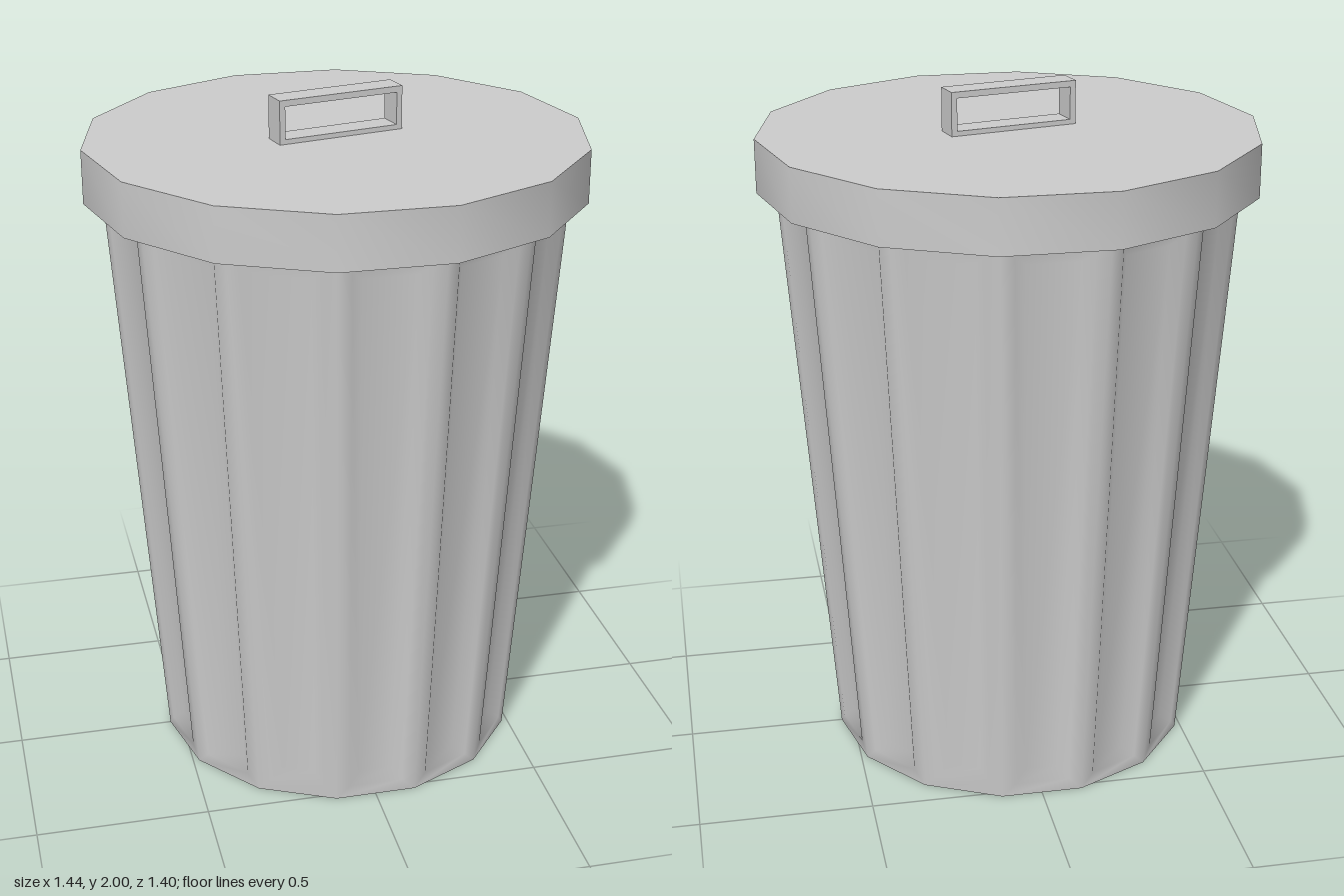
import * as THREE from 'three';
import { mergeVertices, toCreasedNormals } from 'three/addons/utils/BufferGeometryUtils.js';

const SIDES = 14;
const HALF = Math.PI / SIDES;
const BODY_TOP = 1.85;
const radiusAt = (y) => 0.535 + 0.0756 * y;

// Tapered body: every side carries a panel sunk inside a narrow flat border
function bodyGeometry() {
  const rings = [
    { inset: 0, depth: 0, y0: 0, y1: BODY_TOP },
    { inset: 0.04, depth: 0, y0: 0.04, y1: 1.7 },
    { inset: 0.073, depth: 0.027, y0: 0.073, y1: 1.667 },
  ];
  const positions = [];
  const quad = (a, b, c, d) => [a, b, c, a, c, d].forEach((p) => positions.push(...p));

  for (let i = 0; i < SIDES; i++) {
    const angle = (2 * i + 1) * HALF;
    const c = Math.cos(angle), s = Math.sin(angle);
    const corner = (side, y, { inset, depth }) => {
      const out = radiusAt(y) * Math.cos(HALF) - depth;
      const along = side * (radiusAt(y) * Math.sin(HALF) - inset);
      return [c * out - s * along, y, s * out + c * along];
    };
    const loops = rings.map((r) => [
      corner(1, r.y0, r), corner(-1, r.y0, r), corner(-1, r.y1, r), corner(1, r.y1, r),
    ]);
    for (let k = 0; k < 2; k++) {
      for (let j = 0; j < 4; j++) {
        const n = (j + 1) % 4;
        quad(loops[k][j], loops[k][n], loops[k + 1][n], loops[k + 1][j]);
      }
    }
    quad(...loops[2]);
  }
  const raw = new THREE.BufferGeometry();
  raw.setAttribute('position', new THREE.Float32BufferAttribute(positions, 3));
  const geometry = mergeVertices(raw, 1e-4);
  geometry.computeVertexNormals();
  return geometry;
}

// Lid: flat top with a hanging rim, hollow underneath
function lidGeometry() {
  const profile = [
    [0, 1.85], [0.69, 1.85], [0.69, 1.72], [0.72, 1.72], [0.72, 1.875], [0, 1.875],
  ].map(([r, y]) => new THREE.Vector2(r, y));
  const lathe = new THREE.LatheGeometry(profile, SIDES).rotateY(Math.PI / 2);
  return toCreasedNormals(lathe, 0.6);
}

// Handle: rectangular frame with a slot through it
function handleGeometry() {
  const rect = (target, x, y0, y1) => target
    .moveTo(-x, y0).lineTo(x, y0).lineTo(x, y1).lineTo(-x, y1).closePath();
  const shape = rect(new THREE.Shape(), 0.19, 0, 0.125);
  shape.holes.push(rect(new THREE.Path(), 0.173, 0.014, 0.107));
  return new THREE.ExtrudeGeometry(shape, { depth: 0.075, bevelEnabled: false })
    .translate(0, 0, -0.0375);
}

export function createModel() {
  const group = new THREE.Group();
  group.name = 'trashCan';
  const material = new THREE.MeshStandardMaterial({ color: 0xcccccc });
  const add = (name, geometry) => {
    const mesh = new THREE.Mesh(geometry, material);
    mesh.name = name;
    group.add(mesh);
    return mesh;
  };

  add('flutedBody', bodyGeometry());
  add('base', new THREE.CircleGeometry(radiusAt(0), SIDES).rotateX(Math.PI / 2));
  add('lid', lidGeometry());

  // The handle is turned by half a side
  const handle = add('lidHandle', handleGeometry());
  handle.position.y = 1.875;
  handle.rotation.y = HALF;

  return group;
}
